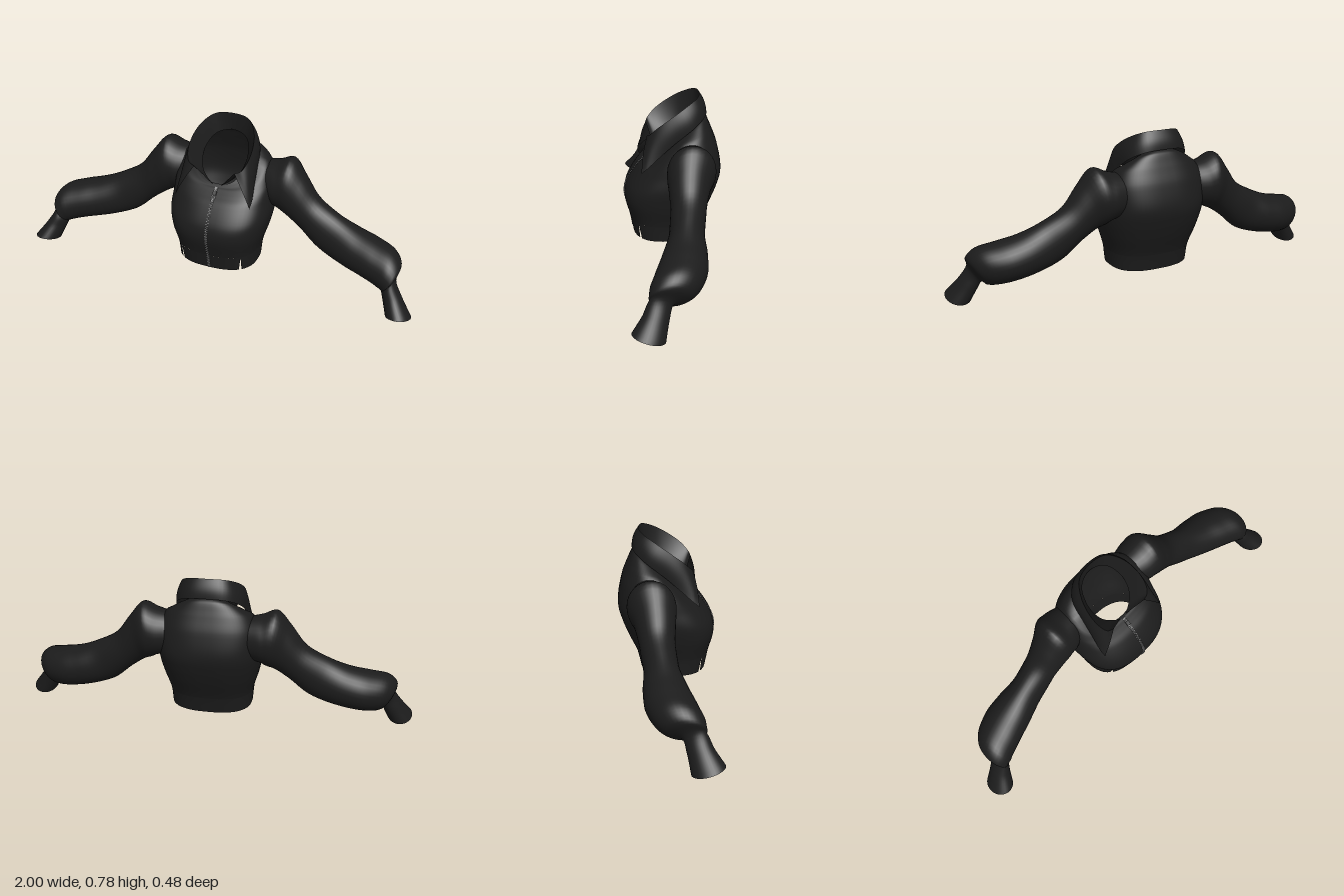
import * as THREE from 'three';
import { mergeGeometries } from 'three/addons/utils/BufferGeometryUtils.js';

const V = (x, y, z) => new THREE.Vector3(x, y, z);
const spline = pts => new THREE.CatmullRomCurve3(pts.map(p => V(...p)));

// Smooth grid surface from f(u, v), both 0..1; closed joins u = 1 to u = 0
function surface(f, nu, nv, closed = false) {
  const pos = [], index = [], cols = closed ? nu : nu + 1;
  for (let j = 0; j <= nv; j++)
    for (let i = 0; i < cols; i++) pos.push(...f(i / nu, j / nv).toArray());
  for (let j = 0; j < nv; j++)
    for (let i = 0; i < nu; i++) {
      const k = (i + 1) % cols;
      const a = j * cols + i, b = j * cols + k, c = a + cols, d = b + cols;
      index.push(a, b, d, a, d, c);
    }
  const g = new THREE.BufferGeometry();
  g.setAttribute('position', new THREE.Float32BufferAttribute(pos, 3));
  g.setIndex(index);
  g.computeVertexNormals();
  return g;
}

// Torso rings from hem to neck: half width, front z, back z / side y, front y, back y
const girth = spline([
  [0.2, 0.195, -0.125], [0.207, 0.21, -0.145], [0.235, 0.236, -0.19], [0.25, 0.225, -0.22],
  [0.25, 0.17, -0.235], [0.243, 0.125, -0.215], [0.21, 0.098, -0.185], [0.15, 0.086, -0.158],
  [0.11, 0.08, -0.135]]);
const height = spline([
  [0.09, 0.09, 0.086], [0.17, 0.17, 0.17], [0.27, 0.275, 0.27], [0.35, 0.34, 0.35],
  [0.43, 0.425, 0.43], [0.52, 0.465, 0.54], [0.592, 0.487, 0.62], [0.612, 0.497, 0.68],
  [0.615, 0.505, 0.695]]);
const HEM = 1 / 8;

function torsoPoint(angle, s) {
  const g = girth.getPoint(s), h = height.getPoint(s);
  const round = n => Math.sign(n) * Math.abs(n) ** 0.77;
  const sx = round(Math.sin(angle)), cz = round(Math.cos(angle));
  const mid = (g.y + g.z) / 2, depth = (g.y - g.z) / 2;
  const y = h.x + ((cz > 0 ? h.y : h.z) - h.x) * Math.abs(cz);
  return V(g.x * sx, y, mid + depth * cz);
}

// Sleeve rings from shoulder to cuff: upper x, y, lower x, y, centre z, half depth, tilt
const sleeveRings = [
  [0.2, 0.59, 0.2, 0.38, -0.08, 0.095, 0], [0.26, 0.604, 0.255, 0.365, -0.076, 0.112, 0],
  [0.325, 0.628, 0.28, 0.35, -0.073, 0.114, 0], [0.395, 0.55, 0.32, 0.33, -0.06, 0.097, 0],
  [0.47, 0.45, 0.39, 0.28, -0.05, 0.082, 0], [0.57, 0.39, 0.49, 0.195, -0.035, 0.08, 0],
  [0.68, 0.342, 0.62, 0.145, -0.018, 0.1, 0], [0.78, 0.315, 0.74, 0.118, 0.005, 0.112, 0],
  [0.87, 0.288, 0.805, 0.107, 0.035, 0.108, 0], [0.912, 0.24, 0.832, 0.105, 0.06, 0.09, 0],
  [0.902, 0.18, 0.84, 0.11, 0.098, 0.052, 0.01], [0.94, 0.11, 0.855, 0.075, 0.12, 0.056, 0.015],
  [1.0, 0.028, 0.878, 0.02, 0.152, 0.072, 0.021]];
const sleeveTop = spline(sleeveRings.map(r => [r[0], r[1], r[4]]));
const sleeveLow = spline(sleeveRings.map(r => [r[2], r[3], r[4]]));
const sleeveDepth = spline(sleeveRings.map(r => [r[5], r[6], 0]));

function sleevePoint(side, u, v) {
  const a = side * u * Math.PI * 2;
  const top = sleeveTop.getPoint(v), low = sleeveLow.getPoint(v), d = sleeveDepth.getPoint(v);
  const p = top.clone().add(low).multiplyScalar(0.5);
  p.addScaledVector(top.sub(low), Math.cos(a) / 2);
  p.add(V(0, d.y, d.x).multiplyScalar(Math.sin(a)));
  p.x *= side;
  return p;
}

// Collar lines, listed from back centre to front, then mirrored
const mirrored = half => spline([
  ...half.slice().reverse(), ...half.slice(1).map(([x, y, z]) => [-x, y, z])]);
const fold = mirrored([[0, 0.785, -0.13], [0.085, 0.778, -0.112], [0.135, 0.745, -0.05],
  [0.155, 0.7, 0.02], [0.152, 0.655, 0.08], [0.132, 0.618, 0.115], [0.102, 0.605, 0.125]]);
const leafEdge = mirrored([[0, 0.697, -0.164], [0.09, 0.69, -0.152], [0.15, 0.655, -0.1],
  [0.172, 0.585, -0.005], [0.182, 0.525, 0.065], [0.192, 0.472, 0.125], [0.19, 0.446, 0.155]]);
const neckline = mirrored([[0, 0.69, -0.138], [0.075, 0.675, -0.11], [0.108, 0.63, -0.045],
  [0.108, 0.59, 0], [0.09, 0.55, 0.04], [0.055, 0.52, 0.068], [0.02, 0.5, 0.086]]);
const between = (a, b, puff) => (u, v) => {
  const p = a.getPoint(u).lerp(b.getPoint(u), v);
  const out = V(p.x, 0, p.z + 0.02).normalize();
  return p.addScaledVector(out, puff * Math.sin(Math.PI * v));
};

export function createModel() {
  const cloth = new THREE.MeshStandardMaterial({ color: 0x1c1c1c, side: THREE.DoubleSide });
  cloth.name = 'black cloth';
  const metal = new THREE.MeshStandardMaterial({ color: 0x8c8c8c });
  metal.name = 'zip metal';
  const dark = new THREE.MeshStandardMaterial({ color: 0x3a3a3a });
  dark.name = 'dark metal';

  const model = new THREE.Group();
  model.name = 'croppedJacket';
  const add = (name, geometry, material = cloth) => {
    const mesh = new THREE.Mesh(geometry, material);
    mesh.name = name;
    model.add(mesh);
    return mesh;
  };

  // Torso above the hem band
  add('torso', surface((u, v) => torsoPoint(u * Math.PI * 2, HEM + v * (1 - HEM)), 64, 40, true));

  // Hem band, split by a small wedge at each front corner
  const hemPanel = (from, to) => surface((u, v) => {
    const slit = 0.045 * (1 - v);
    return torsoPoint(THREE.MathUtils.lerp(from + slit, to - slit, u), v * HEM);
  }, 40, 5);
  add('frontHem', hemPanel(-0.76, 0.76));
  add('backHem', hemPanel(0.76, Math.PI * 2 - 0.76));

  // Sleeves with puffed shoulders and flared cuffs
  for (const [name, side] of [['leftSleeve', 1], ['rightSleeve', -1]])
    add(name, surface((u, v) => sleevePoint(side, u, v), 32, 60, true));

  // Folded collar: outer leaf with points, inner stand down to the neck
  add('collarLeaf', surface(between(leafEdge, fold, 0.008), 60, 8));
  add('collarStand', surface(between(fold, neckline, 0), 60, 8));

  // Zip teeth, alternating left and right down the front
  const teeth = [], zipCount = 90;
  for (let i = 0; i < zipCount; i++) {
    const s = 0.005 + 0.8 * i / zipCount;
    const p = torsoPoint(0, s), slope = torsoPoint(0, s + 0.01).sub(p);
    const tooth = new THREE.BoxGeometry(0.008, 0.0032, 0.006);
    tooth.rotateX(Math.atan2(slope.z, slope.y));
    tooth.translate(i % 2 ? 0.003 : -0.003, p.y, p.z + 0.001);
    teeth.push(tooth);
  }
  add('zipTeeth', mergeGeometries(teeth), metal);

  // Zip slider and pull tab
  const at = torsoPoint(0, 0.66), next = torsoPoint(0, 0.68).sub(at);
  const tilt = Math.atan2(next.z, next.y);
  const slider = add('zipSlider', new THREE.BoxGeometry(0.018, 0.022, 0.01), dark);
  slider.position.set(0, at.y, at.z + 0.004);
  slider.rotation.x = tilt;
  const pull = add('zipPull', new THREE.TorusGeometry(0.008, 0.0022, 8, 16), metal);
  pull.scale.y = 1.8;
  pull.position.set(0, at.y - 0.012, at.z + 0.02);
  pull.rotation.x = tilt;

  return model;
}
